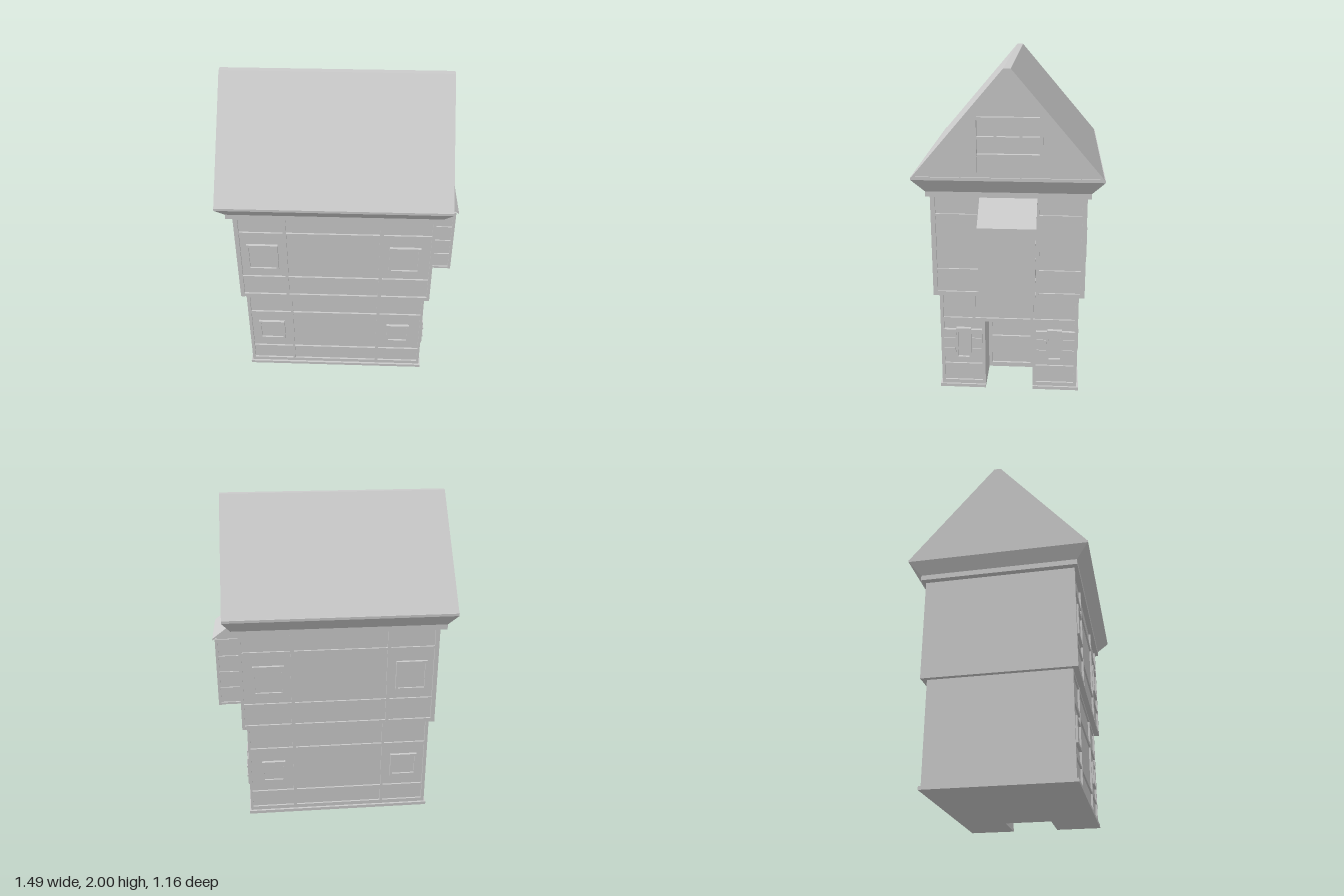
import * as THREE from 'three';

const mat = new THREE.MeshStandardMaterial({ color: 0xcccccc, flatShading: true });
const INSET = 0.012; // depth of the plaster behind the timber face

function add(parent, name, geo) {
  const m = new THREE.Mesh(geo, mat);
  m.name = name;
  parent.add(m);
  return m;
}

// Box from its minimum and maximum corners
function block(parent, name, x0, x1, y0, y1, z0, z1) {
  const m = add(parent, name, new THREE.BoxGeometry(x1 - x0, y1 - y0, z1 - z0));
  m.position.set((x0 + x1) / 2, (y0 + y1) / 2, (z0 + z1) / 2);
  return m;
}

// Box on a wall whose local frame is u (across), y (up), d (outward)
const panel = (wall, name, u0, u1, y0, y1, d0, d1) => block(wall, name, u0, u1, y0, y1, d0, d1);

// A wall frame: local z is outward from the house
function wallFrame(parent, name, x, z, angle) {
  const g = new THREE.Group();
  g.name = name;
  g.position.set(x, 0, z);
  g.rotation.y = angle;
  parent.add(g);
  return g;
}

// Frame of four bars with a sunken pane
function windowFrame(wall, u0, u1, y0, y1, t = 0.014, d = 0.006) {
  panel(wall, 'windowSill', u0, u1, y0, y0 + t, -INSET, d);
  panel(wall, 'windowHead', u0, u1, y1 - t, y1, -INSET, d);
  panel(wall, 'windowJamb', u0, u0 + t, y0 + t, y1 - t, -INSET, d);
  panel(wall, 'windowJamb', u1 - t, u1, y0 + t, y1 - t, -INSET, d);
  panel(wall, 'windowPane', u0 + t, u1 - t, y0 + t, y1 - t, -INSET, -0.005);
}

// Timber bars: posts are [u0,u1] pairs over the full height, rails [y0,y1] pairs
function timbers(wall, u0, u1, y0, y1, posts, rails) {
  posts.forEach(([a, b]) => panel(wall, 'post', a, b, y0, y1, -INSET, 0));
  rails.forEach(([a, b]) => panel(wall, 'rail', u0, u1, a, b, -INSET, -0.001));
}

// Extrude an outline drawn in (z, y) along x from x0 to x1
function extrudeX(parent, name, points, x0, x1, hole) {
  const shape = new THREE.Shape(points.map(([z, y]) => new THREE.Vector2(-z, y)));
  if (hole) shape.holes.push(new THREE.Path(hole.map(([z, y]) => new THREE.Vector2(-z, y))));
  const geo = new THREE.ExtrudeGeometry(shape, { depth: x1 - x0, bevelEnabled: false });
  geo.rotateY(Math.PI / 2).translate(x0, 0, 0);
  return add(parent, name, geo);
}

// Box whose top and bottom differ in size
function taper(parent, name, y0, hx0, hz0, y1, hx1, hz1) {
  const geo = new THREE.BoxGeometry(2, y1 - y0, 2);
  const p = geo.attributes.position;
  for (let i = 0; i < p.count; i++) {
    const top = p.getY(i) > 0;
    p.setX(i, p.getX(i) * (top ? hx1 : hx0));
    p.setZ(i, p.getZ(i) * (top ? hz1 : hz0));
  }
  geo.translate(0, (y0 + y1) / 2, 0);
  geo.computeVertexNormals();
  return add(parent, name, geo);
}

// Plan with a doorway notch in the +x side, raised from y0 to y1
function notchedPlan(parent, name, x0, x1, hz, y0, y1) {
  const w = 0.147, d = 0.32;
  const pts = [[x0, -hz], [x1, -hz], [x1, -w], [d, -w], [d, w], [x1, w], [x1, hz], [x0, hz]];
  const shape = new THREE.Shape(pts.map(([x, z]) => new THREE.Vector2(x, z)));
  const geo = new THREE.ExtrudeGeometry(shape, { depth: y1 - y0, bevelEnabled: false });
  geo.rotateX(-Math.PI / 2).translate(0, y0, 0);
  return add(parent, name, geo);
}

function buildLowerFloor(house) {
  const hx = 0.57, hz = 0.42;
  notchedPlan(house, 'basePlate', -0.58, 0.58, 0.432, 0, 0.02);
  notchedPlan(house, 'lowerWalls', -hx, hx - INSET, hz - INSET, 0.02, 0.45);
  block(house, 'lowerWallsTop', -hx, hx - INSET, 0.45, 0.64, -hz + INSET, hz - INSET);

  // Long sides, mirrored front to back
  for (const s of [1, -1]) {
    const w = wallFrame(house, s > 0 ? 'lowerFrontSide' : 'lowerBackSide', 0, s * hz, s > 0 ? 0 : Math.PI);
    const m = ([a, b]) => (s > 0 ? [a, b] : [-b, -a]);
    timbers(w, -hx, hx, 0.02, 0.64,
      [[-hx, -0.55], [-0.29, -0.275], [0.27, 0.29], [0.555, hx]].map(m),
      [[0.02, 0.045], [0.15, 0.162], [0.455, 0.478], [0.628, 0.64]]);
    windowFrame(w, ...m([-0.505, -0.335]), 0.235, 0.39);
    windowFrame(w, ...m([0.34, 0.487]), 0.235, 0.38);
  }

  // Door side
  const w = wallFrame(house, 'doorSide', hx, 0, Math.PI / 2);
  timbers(w, -hz, hz, 0.45, 0.64, [[-0.222, -0.205], [0.13, 0.147]], [[0.455, 0.478], [0.628, 0.64]]);
  for (const s of [1, -1]) {
    const bar = (name, a, b, y0, y1, d) =>
      panel(w, name, Math.min(s * a, s * b), Math.max(s * a, s * b), y0, y1, -INSET, d);
    bar('cornerPost', 0.4, hz, 0.02, 0.64, 0);
    bar('doorPost', 0.147, 0.165, 0.02, 0.455, 0);
    bar('rail', 0.165, 0.4, 0.02, 0.045, -0.001);
    bar('rail', 0.165, 0.4, 0.15, 0.162, -0.001);
    // Shuttered window
    bar('shutter', 0.165, 0.232, 0.21, 0.4, 0.008);
    bar('shutter', 0.325, 0.405, 0.21, 0.4, 0.008);
    for (const y of [0.265, 0.335]) {
      bar('shutterBatten', 0.17, 0.227, y, y + 0.012, 0.014);
      bar('shutterBatten', 0.33, 0.4, y, y + 0.012, 0.014);
    }
    const u = s * 0.279;
    windowFrame(w, u - 0.045, u + 0.045, 0.205, 0.41, 0.01, 0.012);
  }

  // Door set back in its recess
  const door = wallFrame(house, 'door', 0.32, 0, Math.PI / 2);
  panel(door, 'doorStile', -0.147, -0.125, 0.02, 0.45, 0, 0.015);
  panel(door, 'doorStile', 0.125, 0.147, 0.02, 0.45, 0, 0.015);
  for (const y of [0.02, 0.215, 0.432]) panel(door, 'doorRail', -0.125, 0.125, y, y + 0.018, 0, 0.014);
}

function buildUpperFloor(house) {
  const hx = 0.598, hz = 0.452;
  block(house, 'upperWalls', -hx, hx - INSET, 0.64, 1.28, -hz + INSET, hz - INSET);
  const rails = [[0.64, 0.665], [0.8, 0.812], [1.14, 1.155]];

  for (const s of [1, -1]) {
    const w = wallFrame(house, s > 0 ? 'upperFrontSide' : 'upperBackSide', 0, s * hz, s > 0 ? 0 : Math.PI);
    const m = ([a, b]) => (s > 0 ? [a, b] : [-b, -a]);
    timbers(w, -hx, hx, 0.64, 1.28,
      [[-hx, -0.572], [-0.307, -0.287], [0.272, 0.294], [0.58, hx]].map(m), rails);
    windowFrame(w, ...m([-0.533, -0.343]), 0.872, 1.062);
    windowFrame(w, ...m([0.333, 0.522]), 0.875, 1.062);
  }

  const w = wallFrame(house, 'baySide', hx, 0, Math.PI / 2);
  timbers(w, -hz, hz, 0.64, 1.28, [[-hz, -0.425], [-0.18, -0.16], [0.16, 0.18], [0.425, hz]], rails);
}

function buildBay(house) {
  const bay = new THREE.Group();
  bay.name = 'bay';
  house.add(bay);
  // Sloped-top body
  const shape = new THREE.Shape([[0.58, 0.668], [0.742, 0.668], [0.742, 1.135], [0.58, 1.26]]
    .map(([x, y]) => new THREE.Vector2(x, y)));
  const body = new THREE.ExtrudeGeometry(shape, { depth: 0.304, bevelEnabled: false });
  add(bay, 'bayBody', body.translate(0, 0, -0.152));
  // Shed roof slab
  const slab = new THREE.Shape([[0.585, 1.256], [0.766, 1.12], [0.766, 1.132], [0.585, 1.27]]
    .map(([x, y]) => new THREE.Vector2(x, y)));
  const roof = new THREE.ExtrudeGeometry(slab, { depth: 0.332, bevelEnabled: false });
  add(bay, 'bayRoof', roof.translate(0, 0, -0.166));
  // Face board and side timbers
  block(bay, 'bayFace', 0.735, 0.752, 0.665, 1.125, -0.162, 0.162);
  for (const s of [1, -1]) {
    const z0 = s > 0 ? 0.15 : -0.161, z1 = s > 0 ? 0.161 : -0.15;
    block(bay, 'bayPost', 0.59, 0.61, 0.668, 1.235, z0, z1);
    for (const y of [0.668, 0.775, 0.885, 0.995, 1.11])
      block(bay, 'bayRail', 0.61, 0.736, y, y + 0.014, z0, z1);
  }
}

function buildRoof(house) {
  // Flared cornice
  block(house, 'corniceBand', -0.635, 0.635, 1.27, 1.302, -0.472, 0.472);
  taper(house, 'corniceFlare', 1.302, 0.635, 0.472, 1.38, 0.68, 0.543);
  block(house, 'eavesBoard', -0.68, 0.68, 1.38, 1.395, -0.543, 0.543);

  // Solid roof, arched gable board, then a thin projecting rim
  const outer = [[-0.543, 1.39], [0.543, 1.39], [0.02, 2], [-0.02, 2]];
  const inner = [[-0.515, 1.398], [0.515, 1.398], [0.008, 1.982], [-0.008, 1.982]];
  const arch = [[-0.345, 1.42], [0.345, 1.42], [0.302, 1.575], [0.195, 1.728],
    [0, 1.838], [-0.195, 1.728], [-0.302, 1.575]];
  extrudeX(house, 'roof', outer, -0.68, 0.59);
  extrudeX(house, 'gableBoard', outer, 0.59, 0.66, arch);
  extrudeX(house, 'gableRim', outer, 0.66, 0.68, inner);

  // Timbering inside the arch
  const g = wallFrame(house, 'gableTimbers', 0.59, 0, Math.PI / 2);
  for (const u of [-0.195, 0.177]) panel(g, 'gablePost', u, u + 0.018, 1.41, 1.73, 0, 0.03);
  for (const y of [1.5, 1.6, 1.71]) panel(g, 'gableRail', -0.177, 0.177, y, y + 0.016, 0, 0.025);
  for (const u of [-0.08, 0.064]) panel(g, 'gableMullion', u, u + 0.016, 1.6, 1.72, 0, 0.022);
  panel(g, 'gableMullion', -0.008, 0.008, 1.41, 1.51, 0, 0.022);
}

export function createModel() {
  const model = new THREE.Group();
  model.name = 'timberHouse';
  const house = new THREE.Group();
  house.name = 'house';
  house.position.x = -0.034;
  house.rotation.y = -0.059; // the house stands slightly turned
  model.add(house);
  buildLowerFloor(house);
  buildUpperFloor(house);
  buildBay(house);
  buildRoof(house);
  return model;
}
